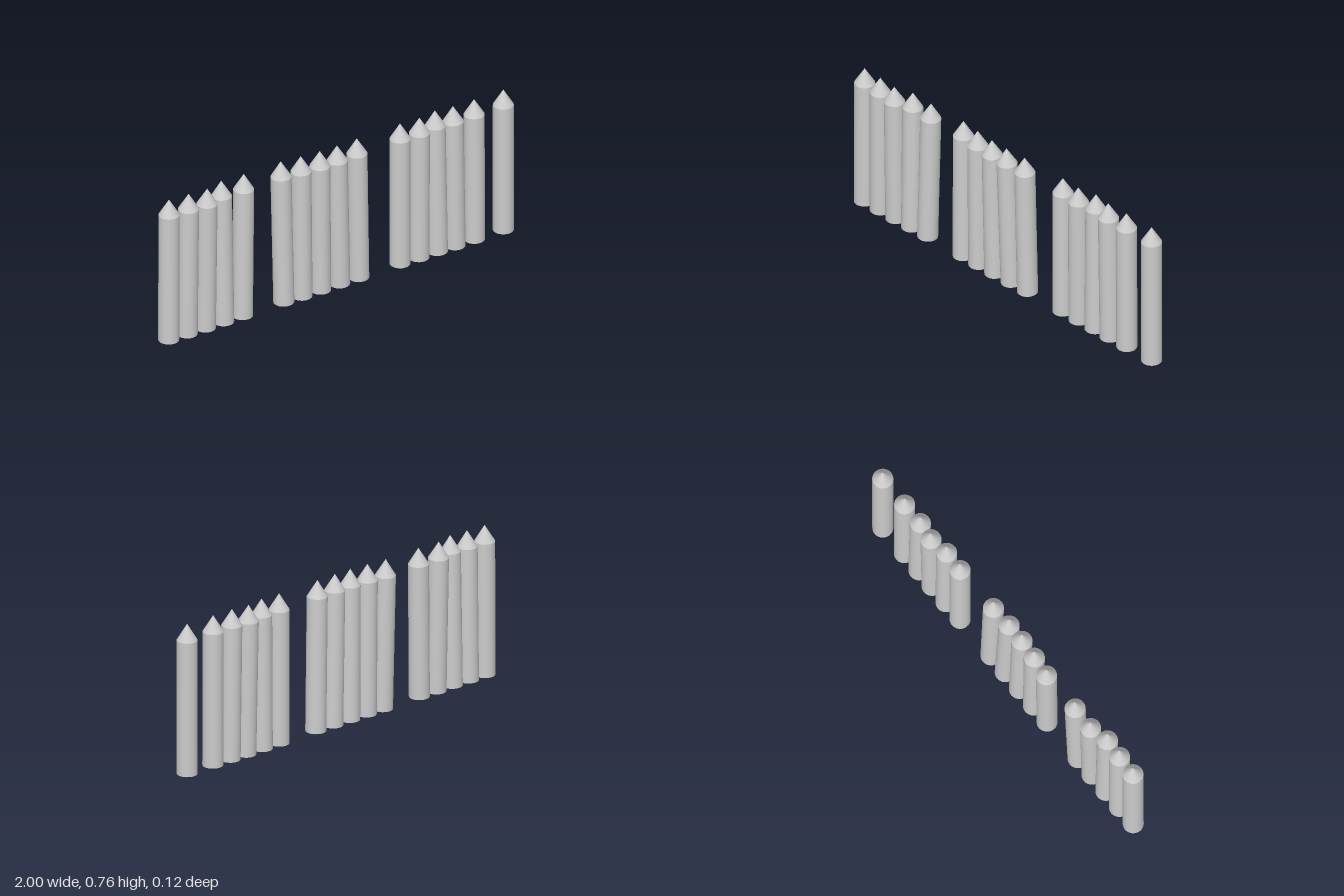
import * as THREE from 'three';
import { mergeGeometries } from 'three/addons/utils/BufferGeometryUtils.js';

const RADIUS = 0.05, SHAFT = 0.677, POINT = 0.082, BASE_Y = 0.003, SIDES = 24;

// One sharpened stake standing on its origin: closed base, round shaft, cone point
function stakeGeometry() {
  const shaft = new THREE.CylinderGeometry(RADIUS, RADIUS, SHAFT, SIDES, 1, true).translate(0, SHAFT / 2, 0);
  const point = new THREE.ConeGeometry(RADIUS, POINT, SIDES, 1, true).translate(0, SHAFT + POINT / 2, 0);
  const base = new THREE.CircleGeometry(RADIUS, SIDES).rotateX(Math.PI / 2);
  return mergeGeometries([shaft, point, base]);
}

// Each stake: [base x, tip x, tip z]; the bases stand in one line
const SECTIONS = {
  rightSection: [
    [-0.95, -0.948, 0], [-0.845, -0.84, 0.005], [-0.742, -0.74, 0.013],
    [-0.638, -0.643, -0.014], [-0.532, -0.518, -0.009],
  ],
  middleSection: [
    [-0.297, -0.307, -0.012], [-0.194, -0.201, 0], [-0.088, -0.099, 0.008],
    [0.02, -0.002, 0.009], [0.128, 0.113, 0.005],
  ],
  leftSection: [
    [0.362, 0.362, 0], [0.469, 0.469, 0.005], [0.574, 0.568, -0.013],
    [0.674, 0.662, 0], [0.784, 0.782, 0],
  ],
  endPost: [[0.948, 0.948, 0]],
};

export function createModel() {
  const fence = new THREE.Group();
  fence.name = 'palisade';
  const geometry = stakeGeometry();
  const material = new THREE.MeshStandardMaterial({ color: 0xcccccc });
  const up = new THREE.Vector3(0, 1, 0);

  for (const [name, stakes] of Object.entries(SECTIONS)) {
    const section = new THREE.Group();
    section.name = name;
    stakes.forEach(([baseX, tipX, tipZ], i) => {
      const stake = new THREE.Mesh(geometry, material);
      stake.name = `stake${i + 1}`;
      stake.position.set(baseX, BASE_Y, 0);
      // Lean from the base towards the tip
      const lean = new THREE.Vector3(tipX - baseX, SHAFT + POINT, tipZ).normalize();
      stake.quaternion.setFromUnitVectors(up, lean);
      section.add(stake);
    });
    fence.add(section);
  }
  return fence;
}
